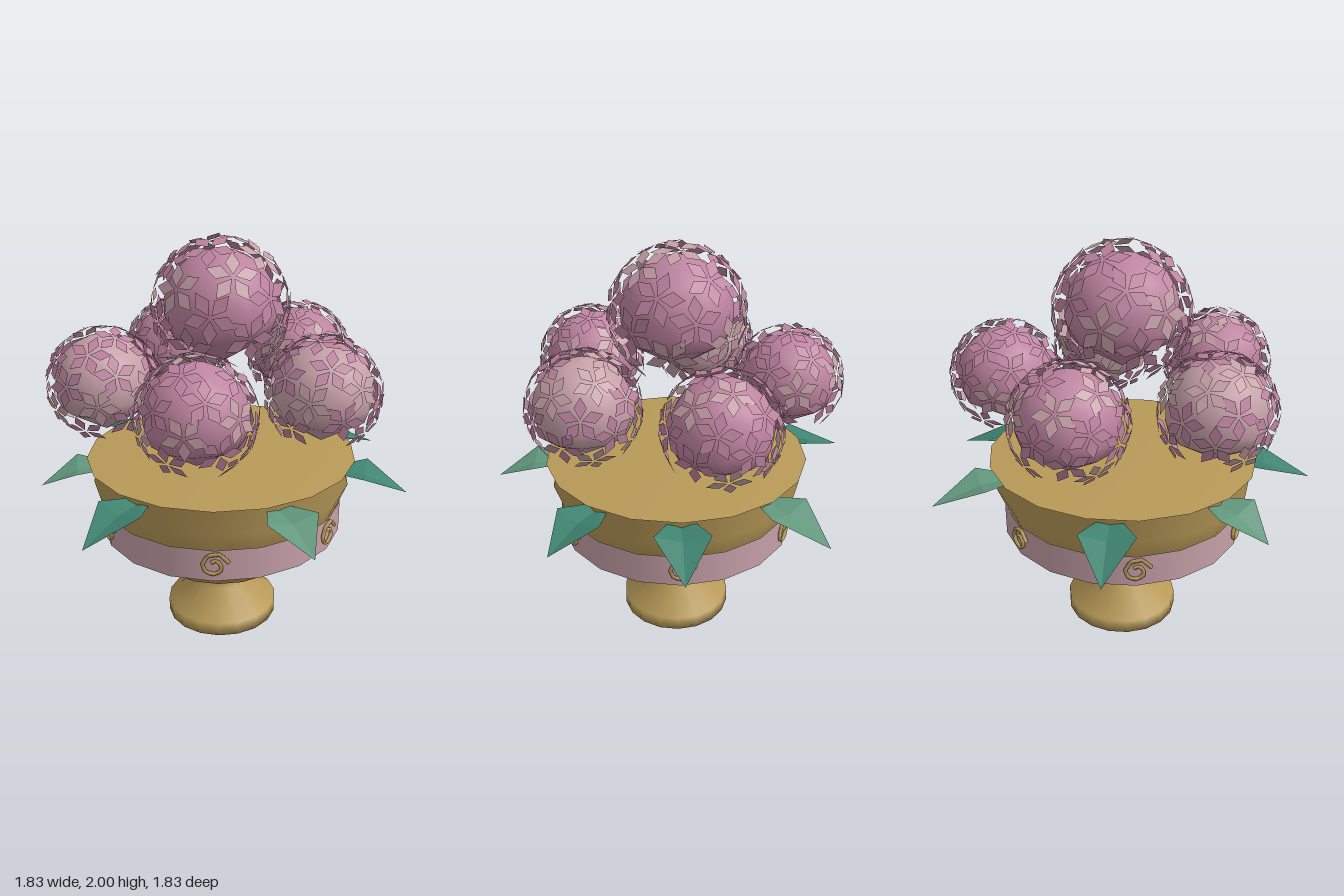
import * as THREE from 'three';

const CX = -0.045, CZ = -0.01;

function material(name, color, doubleSided) {
  const m = new THREE.MeshStandardMaterial({ color });
  m.name = name;
  if (doubleSided) m.side = THREE.DoubleSide;
  return m;
}

function mesh(name, geometry, mat) {
  const m = new THREE.Mesh(geometry, mat);
  m.name = name;
  return m;
}

function lathe(points, sides) {
  return new THREE.LatheGeometry(points.map(p => new THREE.Vector2(p[0], p[1])), sides, Math.PI / 2);
}

// Faceted geometry from a flat list of triangle corners
function facets(corners) {
  const g = new THREE.BufferGeometry().setFromPoints(corners);
  g.computeVertexNormals();
  return g;
}

// Rounded core that narrows to a point underneath
function coreGeometry(r) {
  const pts = [[0, -r]];
  for (let i = 0; i <= 7; i++) {
    const a = THREE.MathUtils.degToRad(116 * (1 - i / 7));
    pts.push([i === 7 ? 0 : r * Math.sin(a), r * Math.cos(a)]);
  }
  return lathe(pts, 12);
}

// Diamond petals in five-petal flowers spread over the upper part of a shell
function flowerGeometries(r, seed) {
  const lists = [[], []];
  const count = 26, size = r * 0.37;
  for (let i = 0; i < count; i++) {
    const y = 0.97 - 1.58 * (i / (count - 1));
    const a = i * 2.39996 + seed * 1.3;
    const s = Math.sqrt(1 - y * y);
    const n = new THREE.Vector3(s * Math.cos(a), y, s * Math.sin(a));
    const u = new THREE.Vector3(-Math.sin(a), 0, Math.cos(a));
    const v = new THREE.Vector3().crossVectors(u, n);
    const at = (x, z, lift) => n.clone().multiplyScalar(r * 0.97 + lift).addScaledVector(u, x).addScaledVector(v, z);
    const list = lists[(i + seed) % 3 === 0 ? 1 : 0];
    for (let k = 0; k < 5; k++) {
      const b = k * Math.PI * 2 / 5 + i * 0.7 + seed;
      const p = (d, w) => at(d * Math.cos(b) - w * Math.sin(b), d * Math.sin(b) + w * Math.cos(b), -d * 0.12);
      const inner = p(size * 0.08, 0), left = p(size * 0.55, size * 0.27);
      const tip = p(size, 0), right = p(size * 0.55, -size * 0.27);
      list.push(inner, right, tip, inner, tip, left);
    }
  }
  return lists.map(facets);
}

// Leaf pointing along +x, folded along its middle and drooping to the tip
function leafGeometry(length) {
  const v = (x, y, z) => new THREE.Vector3(x, y, z);
  const baseL = v(0.58, 0.88, -0.05), baseR = v(0.58, 0.88, 0.05), base = v(0.58, 0.875, 0);
  const sideL = v(0.73, 0.895, -0.13), sideR = v(0.73, 0.895, 0.13);
  const mid = v(0.73, 0.865, 0), tip = v(length, 0.79, 0);
  return facets([
    base, mid, sideL, base, sideL, baseL, mid, tip, sideL,
    base, sideR, mid, base, baseR, sideR, mid, sideR, tip,
  ]);
}

// Curl of wire in the xy plane
function scrollGeometry() {
  const pts = [];
  for (let i = 0; i <= 9; i++) {
    const a = 0.25 + i * 0.92, r = 0.072 - i * 0.0055;
    pts.push(new THREE.Vector3(r * Math.cos(a), r * Math.sin(a), 0));
  }
  const path = new THREE.CurvePath();
  for (let i = 0; i < pts.length - 1; i++) path.add(new THREE.LineCurve3(pts[i], pts[i + 1]));
  return new THREE.TubeGeometry(path, 18, 0.01, 5, false);
}

export function createModel() {
  const gold = material('antique gold', 0xb89a58);
  const mauve = material('mauve', 0xbe84a0, true);
  const pale = material('dusty pink', 0xc6a1a8, true);
  const darkGreen = material('deep green', 0x3f8370, true);
  const lightGreen = material('soft green', 0x62987d, true);

  const model = new THREE.Group();
  model.name = 'flowerUrn';

  // Urn: foot, neck, bowl and lip in one turned profile
  const urn = new THREE.Group();
  urn.name = 'urn';
  urn.position.set(CX, 0, CZ);
  urn.scale.z = 0.978;
  model.add(urn);
  urn.add(mesh('bowl', lathe([
    [0, 0], [0.29, 0], [0.29, 0.07], [0.13, 0.18], [0.13, 0.29], [0.36, 0.36],
    [0.56, 0.58], [0.65, 0.8], [0.62, 0.9], [0.678, 0.93], [0, 0.93],
  ], 18), gold));

  // Painted band around the bowl
  const band = mesh('band', new THREE.CylinderGeometry(0.615, 0.615, 0.16, 18, 1, true, Math.PI / 2), pale);
  band.position.y = 0.62;
  urn.add(band);

  // Six scrolls on the band
  const scroll = scrollGeometry();
  for (let i = 0; i < 6; i++) {
    const a = Math.PI / 2 + i * Math.PI / 3;
    const s = mesh('scroll', scroll, gold);
    s.position.set(0.62 * Math.sin(a), 0.625, 0.62 * Math.cos(a));
    s.rotation.y = a;
    urn.add(s);
  }

  // Leaves around the lip: angle in degrees and reach
  const leaves = [[0, 0.955], [43.5, 0.97], [109, 0.963], [160, 0.91], [204, 0.958], [268, 0.92], [320, 0.933]];
  leaves.forEach(([deg, reach], i) => {
    const leaf = mesh('leaf', leafGeometry(reach), i % 2 ? lightGreen : darkGreen);
    leaf.position.set(CX, 0, CZ);
    leaf.rotation.y = THREE.MathUtils.degToRad(deg);
    model.add(leaf);
  });

  // Blossom balls: x, y, z, core radius, shell radius, core colour
  const balls = [
    [-0.045, 1.67, -0.015, 0.272, 0.34, mauve],
    [0.507, 1.325, -0.185, 0.235, 0.28, mauve],
    [0.26, 1.325, 0.425, 0.235, 0.28, pale],
    [-0.385, 1.325, 0.415, 0.235, 0.28, mauve],
    [-0.585, 1.325, -0.185, 0.235, 0.28, pale],
    [-0.035, 1.325, -0.56, 0.235, 0.28, mauve],
  ];
  balls.forEach(([x, y, z, core, shell, mat], i) => {
    const ball = new THREE.Group();
    ball.name = 'blossomBall';
    ball.position.set(x, y, z);
    const [main, accent] = flowerGeometries(shell, i);
    ball.add(mesh('core', coreGeometry(core), mat), mesh('petals', main, mauve), mesh('palePetals', accent, pale));
    model.add(ball);
  });

  return model;
}
